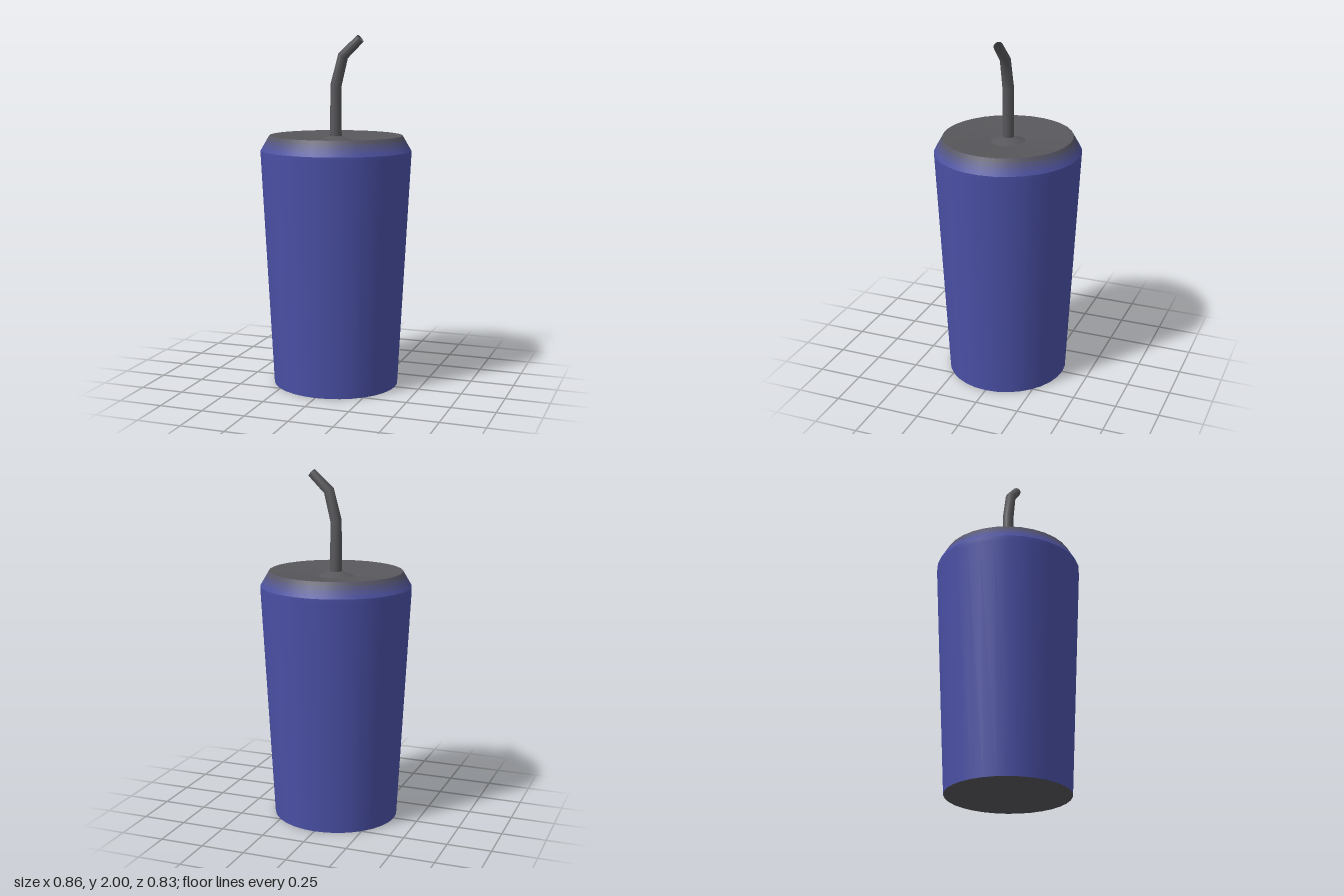
import * as THREE from 'three';

const SIDES = 32;
const OVAL = 0.96; // the cup is slightly narrower front to back
const BLUE = new THREE.Color(0x4a50a6);
const GREY = new THREE.Color(0x58575b);

function addMesh(group, name, geometry, color, side = THREE.FrontSide) {
  const mesh = new THREE.Mesh(geometry, new THREE.MeshStandardMaterial({ color, side }));
  mesh.name = name;
  group.add(mesh);
  return mesh;
}

// Turned section from [radius, height] pairs, listed bottom to top
function turned(points) {
  const profile = points.map(([r, y]) => new THREE.Vector2(r, y));
  return new THREE.LatheGeometry(profile, SIDES).scale(1, 1, OVAL);
}

// Open tube through rings given as { x, y, tilt, r }, listed top to bottom
function bentTube(rings, sides) {
  const geometry = new THREE.CylinderGeometry(1, 1, 1, sides, rings.length - 1, true);
  const pos = geometry.attributes.position;
  for (let i = 0; i < pos.count; i++) {
    const { x, y, tilt, r } = rings[Math.floor(i / (sides + 1))];
    const across = pos.getX(i) * r;
    pos.setXYZ(i, x + across * Math.cos(tilt), y - across * Math.sin(tilt), pos.getZ(i) * r);
  }
  geometry.computeVertexNormals();
  return geometry;
}

export function createModel() {
  const model = new THREE.Group();
  model.name = 'drinkCup';

  // Tapered cup wall and flat base
  addMesh(model, 'cupBody', turned([[0.36, 0], [0.43, 1.33], [0.43, 1.355]]), BLUE);
  addMesh(model, 'cupBase', turned([[0, 0], [0.36, 0]]), GREY);

  // Sloping shoulder fading from cup colour to lid colour
  const shoulder = new THREE.Group();
  shoulder.name = 'lidShoulder';
  const bands = 4;
  const at = (t) => [0.43 - 0.05 * t, 1.355 + 0.085 * t];
  for (let i = 0; i < bands; i++) {
    const color = BLUE.clone().lerp(GREY, (i + 0.5) / bands);
    addMesh(shoulder, `shoulderBand${i + 1}`, turned([at(i / bands), at((i + 1) / bands)]), color);
  }
  model.add(shoulder);

  // Shallow dished lid and the raised collar the straw passes through
  addMesh(model, 'lidTop', turned([[0.38, 1.44], [0.1, 1.41]]), GREY);
  addMesh(model, 'strawCollar', turned([[0.1, 1.41], [0.03, 1.438], [0, 1.438]]), GREY);

  // Bent hollow straw
  const straw = bentTube([
    { x: 0.144, y: 1.982, tilt: 0.86, r: 0.026 },
    { x: 0.042, y: 1.885, tilt: 0.5, r: 0.03 },
    { x: 0, y: 1.72, tilt: 0.12, r: 0.032 },
    { x: 0, y: 1.42, tilt: 0, r: 0.033 },
  ], 16);
  addMesh(model, 'straw', straw, GREY, THREE.DoubleSide);

  return model;
}
